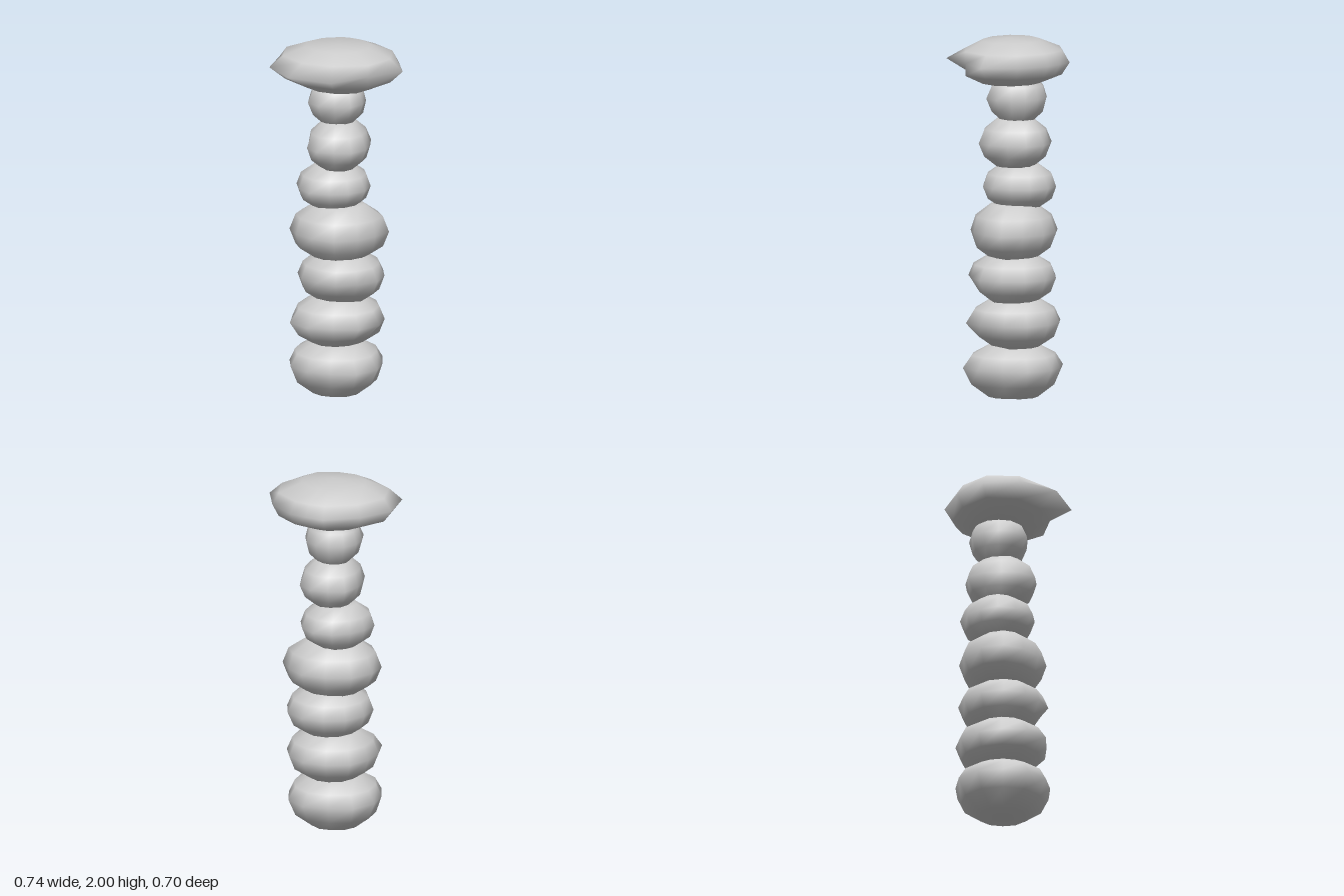
import * as THREE from 'three';

// Height and scale of each ring between the bottom and top poles of a stone
const RINGS = [[-0.92, 0.52], [-0.52, 0.88], [0, 1], [0.52, 0.88], [0.92, 0.52]];

// Outline with 12 corners; bumps holds dents (<1) and spikes (>1), starting at +x and turning to +z
function ovalOutline(rx, rz, bumps) {
  return bumps.map((b, i) => {
    const a = (i * Math.PI * 2) / bumps.length;
    return [Math.cos(a) * rx * b, Math.sin(a) * rz * b];
  });
}

// Smooth pebble: dents and spikes are strongest at the widest ring;
// under and over pull in single corners below and above that ring
function stoneGeometry(outline, rx, rz, [bottom, middle, top], under = {}, over = {}) {
  const n = outline.length;
  const pos = [];
  const index = [];
  for (const [h, s] of RINGS) {
    const y = middle + h * (h < 0 ? middle - bottom : top - middle);
    const inset = h < 0 ? under : over;
    outline.forEach(([x, z], i) => {
      const m = Math.hypot(x / rx, z / rz);
      const k = h === 0 ? 1 : (s / Math.sqrt(m)) * (inset[i] ?? 1);
      pos.push(x * k, y, z * k);
    });
  }
  const low = pos.length / 3;
  pos.push(0, bottom, 0, 0, top, 0);
  const last = (RINGS.length - 1) * n;
  for (let i = 0; i < n; i++) {
    const j = (i + 1) % n;
    for (let r = 0; r < last; r += n) {
      index.push(r + i, r + n + i, r + j, r + j, r + n + i, r + n + j);
    }
    index.push(low, i, j, low + 1, last + j, last + i);
  }
  const g = new THREE.BufferGeometry();
  g.setAttribute('position', new THREE.Float32BufferAttribute(pos, 3));
  g.setIndex(index);
  g.computeVertexNormals();
  return g;
}

// Column stones: x range, z range, bottom / middle / top height, bumps
const STONES = [
  { x: [-0.27, 0.245], z: [-0.29, 0.23], y: [0, 0.18, 0.31],
    bumps: [1, 1.1, 1.12, 1, 1.04, 1.05, 1, 1.07, 1.08, 1, 1.1, 1.07] },
  { x: [-0.255, 0.255], z: [-0.29, 0.21], y: [0.28, 0.43, 0.57],
    bumps: [1, 1.1, 1.12, 1, 1.13, 1.14, 1, 0.98, 1.03, 1, 1.02, 1], under: { 1: 0.85, 2: 0.88 } },
  { x: [-0.225, 0.255], z: [-0.275, 0.22], y: [0.53, 0.68, 0.815],
    bumps: [1, 1.04, 0.96, 1, 0.92, 0.98, 1, 1, 1, 1, 1.03, 1.04], under: { 2: 0.88, 3: 0.82, 4: 0.92 } },
  { x: [-0.27, 0.28], z: [-0.27, 0.21], y: [0.77, 0.93, 1.095],
    bumps: [1, 0.89, 0.92, 1, 0.94, 0.94, 1, 1.02, 1.04, 1, 1, 0.93] },
  { x: [-0.235, 0.175], z: [-0.265, 0.145], y: [1.05, 1.18, 1.31],
    bumps: [1, 1.05, 1.03, 1, 1.08, 1, 1, 0.92, 0.93, 1, 1.05, 1.02] },
  { x: [-0.18, 0.175], z: [-0.235, 0.155], y: [1.28, 1.42, 1.565],
    bumps: [1, 1.08, 1.08, 1, 1.1, 1.04, 0.92, 0.98, 1.08, 1, 1.1, 1.1] },
  { x: [-0.165, 0.155], z: [-0.215, 0.105], y: [1.53, 1.67, 1.8],
    bumps: [0.97, 1.05, 1.13, 1, 1.12, 1.12, 1, 1.02, 1.03, 1, 0.96, 0.97] },
];

// Wide cap stone outline (x, z), with a sharp lip at the front
const CAP = [
  [0.367, 0.063], [0.19, 0.192], [0.005, 0.347], [-0.243, 0.263], [-0.37, 0.067], [-0.342, -0.142],
  [-0.192, -0.28], [0.005, -0.35], [0.105, -0.317], [0.197, -0.275], [0.32, -0.133],
];
const CAP_UNDER = { 0: 0.93, 2: 0.75, 3: 0.75, 4: 0.88 };
const CAP_OVER = { 0: 0.93, 2: 0.77, 3: 0.82, 4: 0.93 };

export function createModel() {
  const group = new THREE.Group();
  group.name = 'stoneColumn';
  const stone = new THREE.MeshStandardMaterial({ color: 0xcccccc });
  stone.name = 'pale grey stone';

  STONES.forEach(({ x, z, y, bumps, under }, i) => {
    const rx = (x[1] - x[0]) / 2;
    const rz = (z[1] - z[0]) / 2;
    const mesh = new THREE.Mesh(stoneGeometry(ovalOutline(rx, rz, bumps), rx, rz, y, under), stone);
    mesh.position.set((x[0] + x[1]) / 2, 0, (z[0] + z[1]) / 2);
    mesh.name = `columnStone${i + 1}`;
    group.add(mesh);
  });

  const cap = new THREE.Mesh(
    stoneGeometry(CAP, 0.365, 0.345, [1.745, 1.875, 2], CAP_UNDER, CAP_OVER), stone);
  cap.name = 'capStone';
  group.add(cap);
  return group;
}
